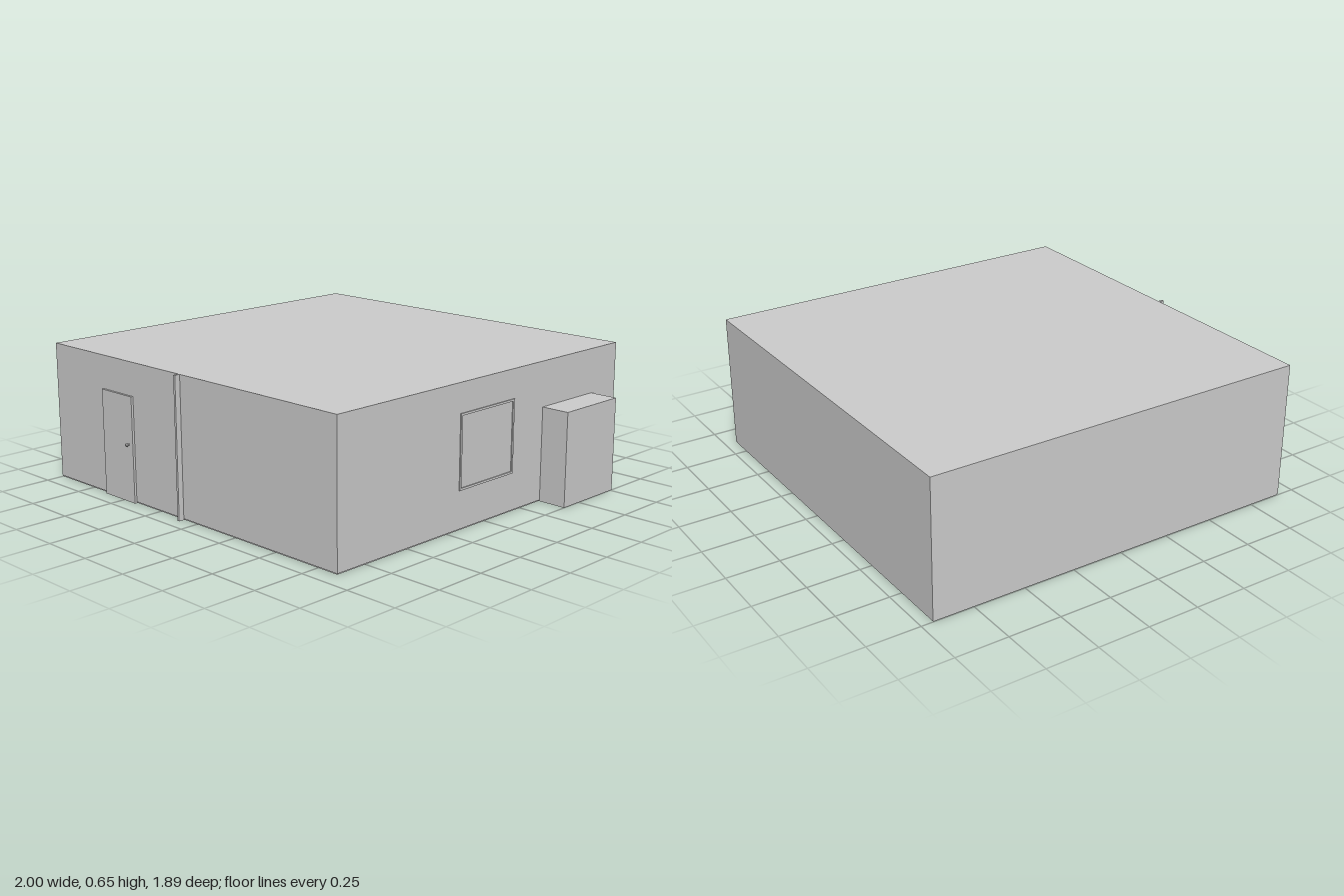
import * as THREE from 'three';

const material = new THREE.MeshStandardMaterial({ color: 0xcccccc, flatShading: true });

// Box given by its extents along x, y and z
function block(name, [x0, x1], [y0, y1], [z0, z1]) {
  const mesh = new THREE.Mesh(new THREE.BoxGeometry(x1 - x0, y1 - y0, z1 - z0), material);
  mesh.name = name;
  mesh.position.set((x0 + x1) / 2, (y0 + y1) / 2, (z0 + z1) / 2);
  return mesh;
}

// Square frame on the right-hand wall, open in the middle
function windowFrame() {
  const rect = (w, h, Type) => new Type([
    new THREE.Vector2(-w, -h), new THREE.Vector2(w, -h),
    new THREE.Vector2(w, h), new THREE.Vector2(-w, h),
  ]);
  const shape = rect(0.18, 0.17, THREE.Shape);
  shape.holes.push(rect(0.17, 0.16, THREE.Path));
  const geometry = new THREE.ExtrudeGeometry(shape, { depth: 0.012, bevelEnabled: false });
  const mesh = new THREE.Mesh(geometry, material);
  mesh.name = 'windowFrame';
  mesh.rotation.y = Math.PI / 2;
  mesh.position.set(0.855, 0.35, 0);
  return mesh;
}

// Round knob on a short stem
function doorKnob() {
  const profile = [[0, 0], [0.004, 0], [0.004, 0.01], [0.008, 0.013], [0.008, 0.018], [0.005, 0.021], [0, 0.021]];
  const geometry = new THREE.LatheGeometry(profile.map(([r, y]) => new THREE.Vector2(r, y)), 16);
  const mesh = new THREE.Mesh(geometry, material);
  mesh.name = 'doorKnob';
  mesh.rotation.x = Math.PI / 2;
  mesh.position.set(-0.447, 0.273, 0.924);
  return mesh;
}

export function createModel() {
  const house = new THREE.Group();
  house.name = 'house';
  house.add(
    // Main building on a thin floor slab
    block('floor', [-0.998, 0.858], [0, 0.006], [-0.943, 0.91]),
    block('walls', [-1, 0.862], [0.006, 0.655], [-0.945, 0.914]),
    // Front door and the upright post beside it
    block('door', [-0.635, -0.42], [0, 0.498], [0.9, 0.925]),
    block('post', [-0.097, -0.086], [0, 0.655], [0.9, 0.94]),
    doorKnob(),
    // Side window and the lean-to box
    windowFrame(),
    block('sideBox', [0.855, 1], [0, 0.443], [-0.76, -0.39]),
  );
  return house;
}
